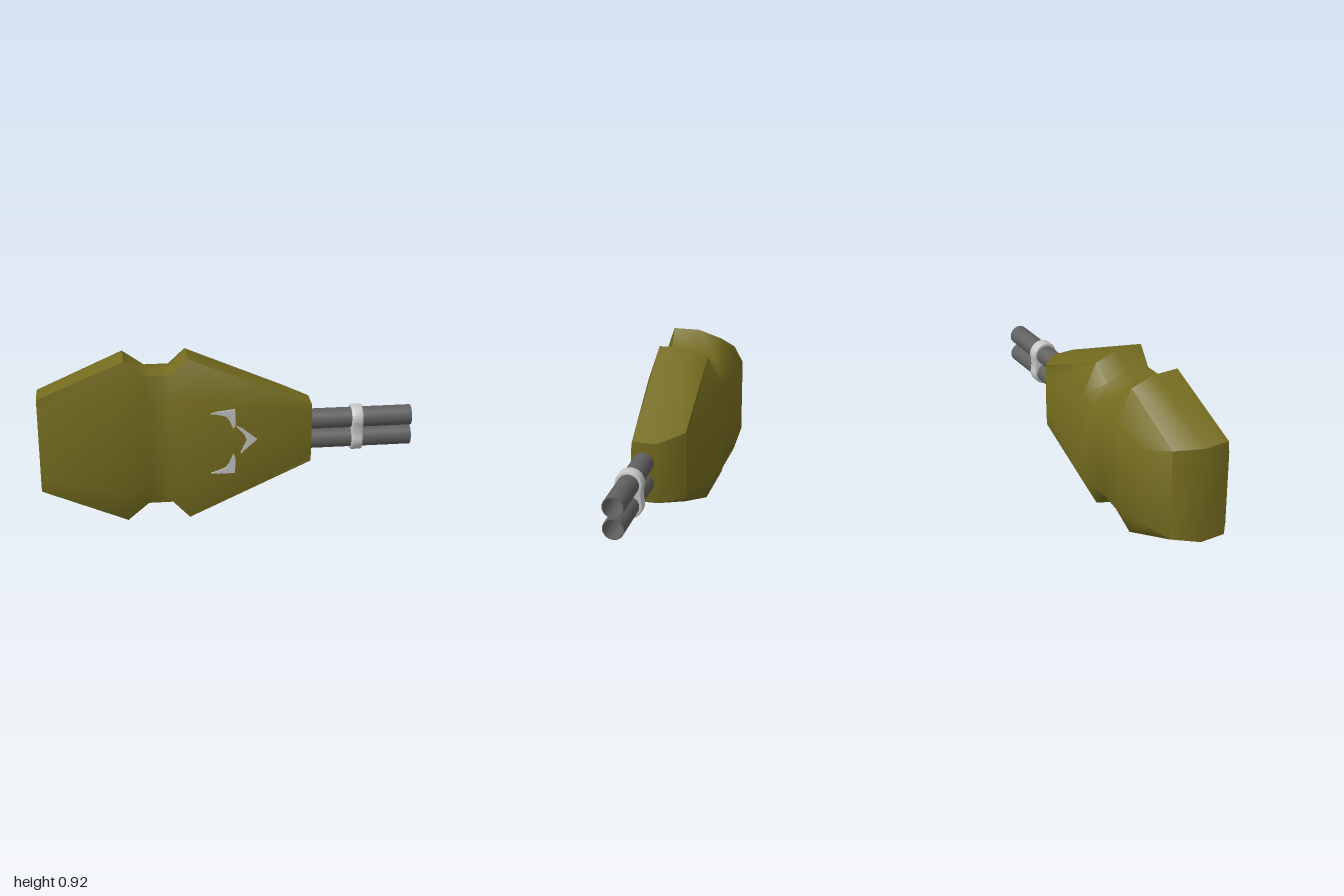
import * as THREE from 'three';
import { toCreasedNormals } from 'three/addons/utils/BufferGeometryUtils.js';

const olive = new THREE.MeshStandardMaterial({ name: 'olive', color: 0x756c1f, side: THREE.DoubleSide });
const darkGrey = new THREE.MeshStandardMaterial({ name: 'darkGrey', color: 0x606060, side: THREE.DoubleSide });
const lightGrey = new THREE.MeshStandardMaterial({ name: 'lightGrey', color: 0xc6c6c6 });

const MID = 0.46;

function add(group, name, geometry, material) {
  const mesh = new THREE.Mesh(geometry, material);
  mesh.name = name;
  group.add(mesh);
  return mesh;
}

// Upper half of a cross-section, front to back: [x, half height, z]
const hump = x => [[x, 0.26, 0.21], [x, 0.46, 0.145], [x, 0.46, 0], [x, 0.42, -0.125], [x, 0.25, -0.21]];
const waist = x => [[x, 0.24, 0.166], [x, 0.37, 0.13], [x, 0.37, 0], [x, 0.34, -0.115], [x, 0.24, -0.203]];

// Armoured housing lofted along x, with back corners cut away at both ends
function bodyGeometry() {
  const halves = [
    [[-1, 0.2, 0.145], [-1, 0.265, 0.14], [-1, 0.265, 0], [-0.92, 0.25, -0.13], [-0.77, 0.21, -0.21]],
    hump(-0.545), waist(-0.43), waist(-0.3), hump(-0.21),
    [[0.45, 0.12, 0.125], [0.45, 0.165, 0.12], [0.45, 0.165, -0.01], [0.32, 0.185, -0.13], [0.32, 0.1, -0.132]],
  ];
  const rings = halves.map(h => [
    ...h.map(([x, y, z]) => [x, MID + y, z]),
    ...h.slice().reverse().map(([x, y, z]) => [x, MID - y, z]),
  ]);
  const pos = [];
  const quad = (a, b, c, d) => pos.push(...a, ...b, ...c, ...a, ...c, ...d);
  const n = rings[0].length;
  for (let s = 0; s < rings.length - 1; s++) {
    for (let i = 0; i < n; i++) {
      const j = (i + 1) % n;
      quad(rings[s][i], rings[s + 1][i], rings[s + 1][j], rings[s][j]);
    }
  }
  // End caps, in strips between the upper and lower halves
  const first = rings[0], last = rings[rings.length - 1];
  for (let i = 0; i < 4; i++) {
    quad(first[i], first[i + 1], first[n - 2 - i], first[n - 1 - i]);
    quad(last[n - 1 - i], last[n - 2 - i], last[i + 1], last[i]);
  }
  const g = new THREE.BufferGeometry();
  g.setAttribute('position', new THREE.Float32BufferAttribute(pos, 3));
  return toCreasedNormals(g, 0.9);
}

// Claw-shaped plate that follows the slope of the front face
function clawGeometry(points) {
  const shape = new THREE.Shape(points.map(([x, y]) => new THREE.Vector2(x, y)));
  const g = new THREE.ExtrudeGeometry(shape, { depth: 0.009, bevelEnabled: false });
  const p = g.attributes.position;
  for (let i = 0; i < p.count; i++) {
    p.setZ(i, p.getZ(i) + 0.21 - (p.getX(i) + 0.21) * 0.085 / 0.66 - 0.001);
  }
  g.computeVertexNormals();
  return g;
}

// Figure-eight clamp around both barrels
function bandGeometry() {
  const r = 0.066, c = 0.057, shape = new THREE.Shape();
  shape.absarc(0, c, r, -0.2, Math.PI + 0.2, false);
  shape.quadraticCurveTo(-0.055, 0, -r * Math.cos(0.2), -c + r * Math.sin(0.2));
  shape.absarc(0, -c, r, Math.PI - 0.2, Math.PI * 2 + 0.2, false);
  shape.quadraticCurveTo(0.055, 0, r * Math.cos(0.2), c - r * Math.sin(0.2));
  const g = new THREE.ExtrudeGeometry(shape, {
    depth: 0.044, bevelThickness: 0.008, bevelSize: 0.005, bevelSegments: 2, curveSegments: 20,
  });
  g.translate(0, 0, -0.022);
  g.rotateY(Math.PI / 2);
  return toCreasedNormals(g, 0.8);
}

// Hollow barrel with its axis along x
function barrelGeometry() {
  const profile = [[0.055, 0], [0.055, 0.58], [0.05, 0.58], [0.05, 0]]
    .map(([r, y]) => new THREE.Vector2(r, y));
  const g = new THREE.LatheGeometry(profile, 32);
  g.rotateZ(-Math.PI / 2);
  return toCreasedNormals(g, 0.8);
}

export function createModel() {
  const model = new THREE.Group();
  model.name = 'twinBarrelHousing';
  add(model, 'housing', bodyGeometry(), olive);

  // Twin barrels and their clamp
  for (const s of [1, -1]) {
    const barrel = add(model, s > 0 ? 'upperBarrel' : 'lowerBarrel', barrelGeometry(), darkGrey);
    barrel.position.set(0.42, MID + s * 0.057, 0.06);
  }
  add(model, 'barrelClamp', bandGeometry(), lightGrey).position.set(0.702, MID, 0.06);

  // Three claw marks on the front, the outer two mirrored
  const outer = [[-0.1, 0.172], [-0.07, 0.166], [-0.02, 0.15], [0, 0.125], [0.022, 0.072],
    [0.034, 0.1], [0.03, 0.185], [-0.06, 0.18]];
  for (const s of [1, -1]) {
    const pts = outer.map(([x, y]) => [x, MID + s * y]);
    add(model, s > 0 ? 'upperClaw' : 'lowerClaw', clawGeometry(pts), lightGrey);
  }
  const middle = [[0.035, 0.09], [0.07, 0.07], [0.15, 0], [0.06, -0.075], [0.075, -0.04], [0.095, -0.002], [0.08, 0.035]];
  add(model, 'middleClaw', clawGeometry(middle.map(([x, y]) => [x, MID + y])), lightGrey);
  return model;
}
